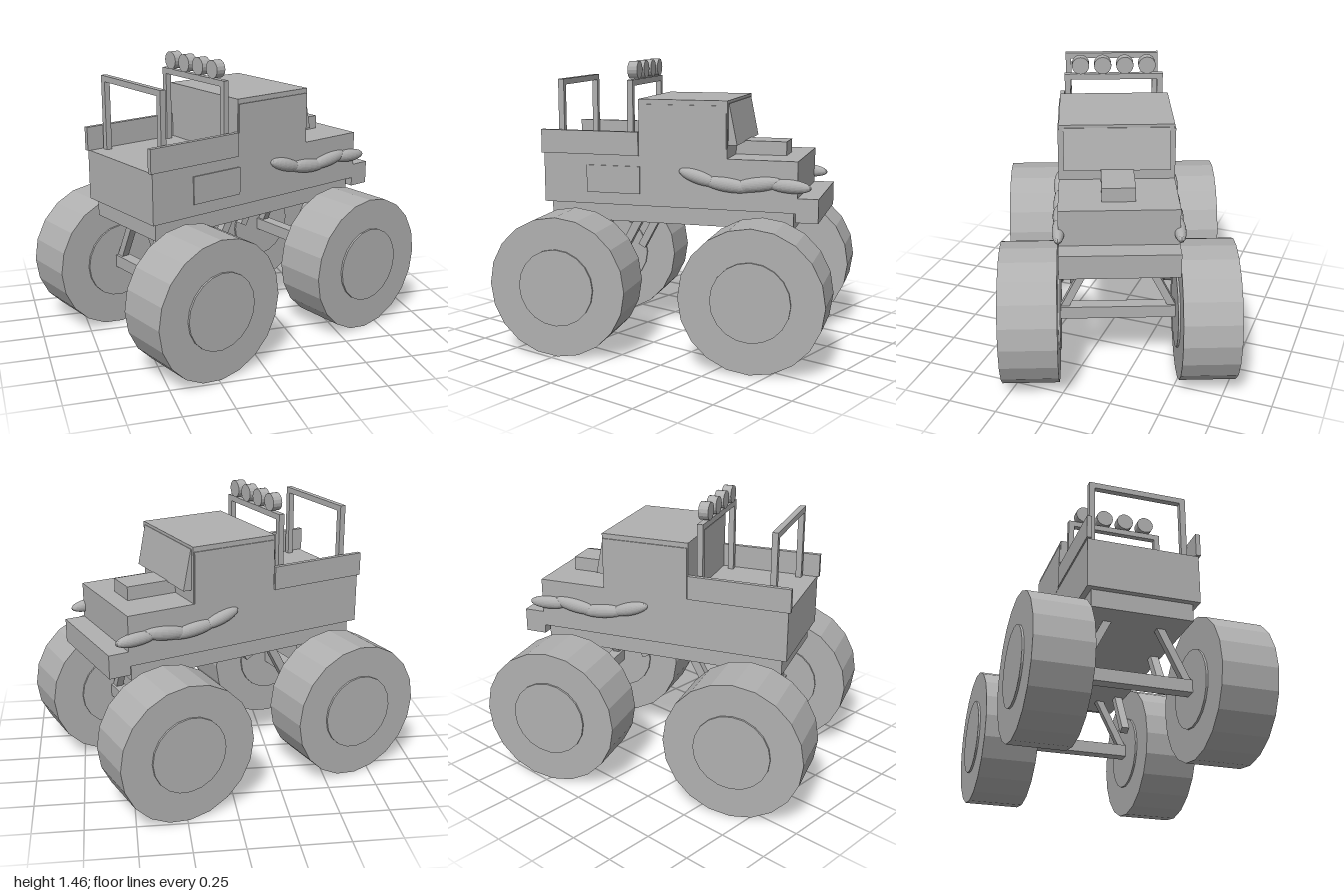
import * as THREE from 'three';

const grey = new THREE.MeshStandardMaterial({ color: 0xb0b0b0, flatShading: true });
grey.name = 'plainGrey';

export function createModel() {
  const model = new THREE.Group();
  model.name = 'monsterTruck';
  // The truck drives along its own +x and is turned on the spot
  const truck = new THREE.Group();
  truck.name = 'truck';
  truck.rotation.y = THREE.MathUtils.degToRad(22);
  model.add(truck);

  const add = (name, geometry, x = 0, y = 0, z = 0) => {
    const mesh = new THREE.Mesh(geometry, grey);
    mesh.name = name;
    mesh.position.set(x, y, z);
    truck.add(mesh);
    return mesh;
  };
  // Box given by its limits on each axis
  const box = (name, x0, x1, y0, y1, z0, z1) =>
    add(name, new THREE.BoxGeometry(x1 - x0, y1 - y0, z1 - z0), (x0 + x1) / 2, (y0 + y1) / 2, (z0 + z1) / 2);
  // Square bar between two points
  const bar = (name, a, b, t) => {
    const from = new THREE.Vector3(...a), to = new THREE.Vector3(...b);
    const dir = to.clone().sub(from);
    const mesh = add(name, new THREE.BoxGeometry(t, dir.length(), t));
    mesh.position.copy(from).add(to).multiplyScalar(0.5);
    mesh.quaternion.setFromUnitVectors(new THREE.Vector3(0, 1, 0), dir.normalize());
  };

  // Body
  box('chassis', -0.635, 0.635, 0.645, 0.74, -0.257, 0.257);
  box('lowerBody', -0.665, 0.657, 0.735, 0.99, -0.285, 0.285);
  box('bumper', 0.65, 0.76, 0.69, 0.81, -0.285, 0.285);
  box('hoodScoop', 0.29, 0.565, 0.985, 1.06, -0.08, 0.08);
  box('cab', -0.153, 0.305, 0.985, 1.275, -0.28, 0.28);
  box('sidePanel', -0.43, -0.145, 0.795, 0.935, 0.284, 0.292);

  // Sloping windshield wedge
  const slope = new THREE.Shape([[0.3, 1.26], [0.308, 1.26], [0.35, 1.055], [0.3, 1.055]].map(p => new THREE.Vector2(...p)));
  add('windshield', new THREE.ExtrudeGeometry(slope, { depth: 0.52, bevelEnabled: false }), 0, 0, -0.26);

  for (const s of [-1, 1]) {
    // Bed rails and door plates
    box('bedRail', -0.677, -0.153, 0.99, 1.11, s * 0.28 - 0.012, s * 0.28 + 0.012);
    box('doorPlate', -0.148, 0.3, 0.99, 1.25, s * 0.282 - 0.004, s * 0.282 + 0.004);

    // Flame lobes along the front sides: x, y, length, height, tilt
    for (const [x, y, rx, ry, tilt] of [
      [0.16, 0.894, 0.105, 0.034, -0.3],
      [0.31, 0.862, 0.13, 0.036, -0.12],
      [0.46, 0.87, 0.13, 0.036, 0.14],
      [0.615, 0.868, 0.11, 0.034, -0.06],
    ]) {
      const lobe = add('flameLobe', new THREE.SphereGeometry(1, 20, 14), x, y, s * 0.285);
      lobe.scale.set(rx, ry, 0.03);
      lobe.rotation.z = tilt;
    }
  }

  // Roll bars
  for (const x of [-0.577, -0.205]) {
    for (const s of [-1, 1]) box('rollBarPost', x - 0.015, x + 0.015, 0.98, 1.36, s * 0.241 - 0.015, s * 0.241 + 0.015);
    box('rollBarTop', x - 0.015, x + 0.015, 1.337, 1.367, -0.256, 0.256);
  }

  // Lamps on the front roll bar
  for (let i = 0; i < 4; i++) {
    const lamp = add('roofLamp', new THREE.CylinderGeometry(0.045, 0.045, 0.05, 16), -0.205, 1.414, (i - 1.5) * 0.115);
    lamp.rotation.z = Math.PI / 2;
  }

  // Axles, braces, shocks and wheels
  for (const x of [-0.49, 0.49]) {
    box('axle', x - 0.032, x + 0.032, 0.325, 0.39, -0.3, 0.3);
    for (const s of [-1, 1]) {
      bar('axleBrace', [x, 0.37, s * 0.275], [x, 0.67, s * 0.125], 0.038);
      const foot = x < 0 ? -0.3 : 0.283;
      bar('shock', [foot, 0.41, s * 0.22], [foot + 0.15, 0.69, s * 0.22], 0.042);
      const tyre = add('tyre', new THREE.CylinderGeometry(0.355, 0.355, 0.282, 20), x, 0.355, s * 0.437);
      const hub = add('hub', new THREE.CylinderGeometry(0.195, 0.195, 0.302, 20), x, 0.355, s * 0.437);
      tyre.rotation.x = hub.rotation.x = Math.PI / 2;
    }
  }
  return model;
}
